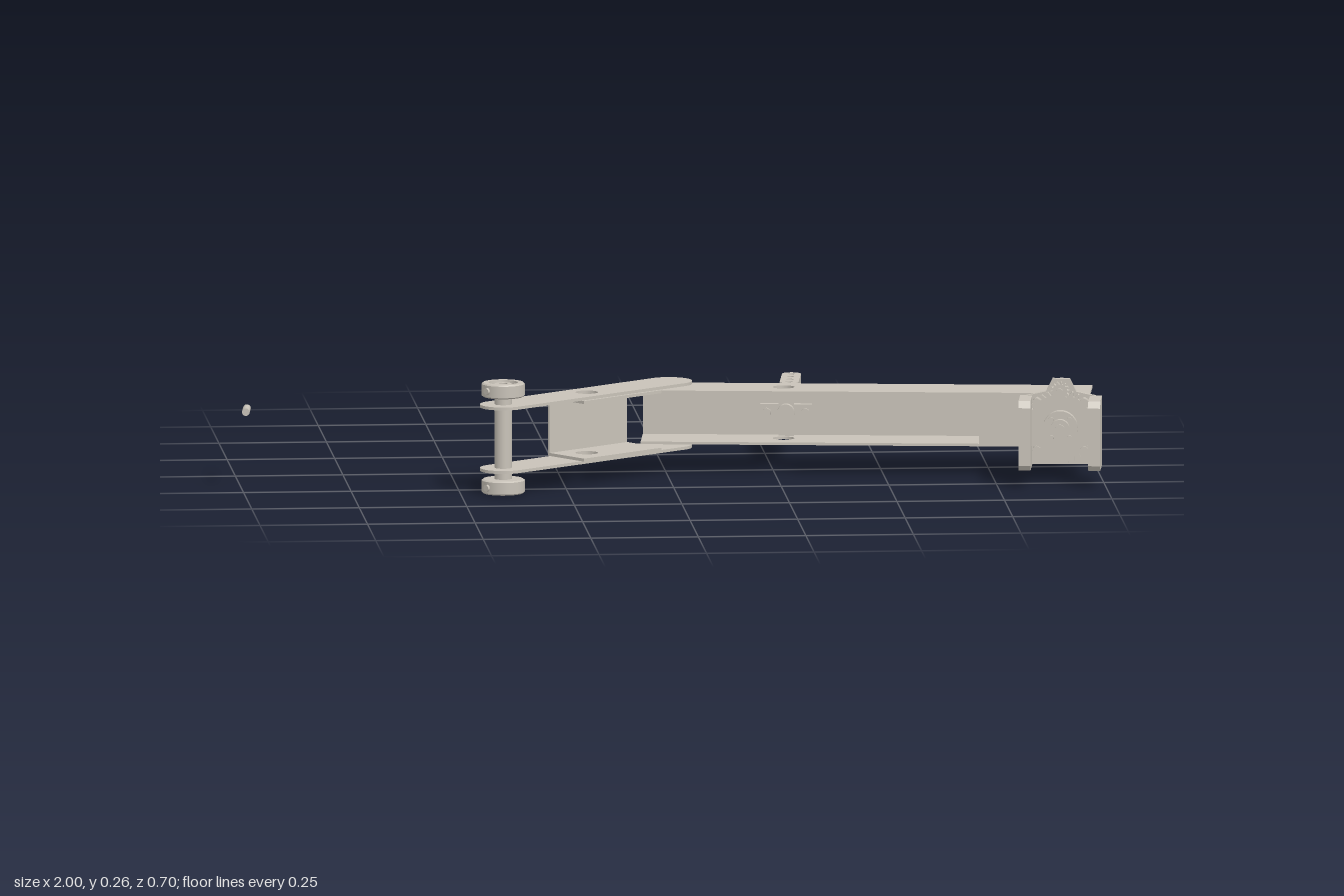
import * as THREE from 'three';

const metal = new THREE.MeshStandardMaterial({ color: 0xc8c2b8 });
metal.name = 'warmGreyMetal';

function add(parent, geometry, name) {
  const mesh = new THREE.Mesh(geometry, metal);
  mesh.name = name;
  parent.add(mesh);
  return mesh;
}

// box given by its low and high corners
function box(parent, name, x0, y0, z0, x1, y1, z1) {
  const g = new THREE.BoxGeometry(x1 - x0, y1 - y0, z1 - z0);
  g.translate((x0 + x1) / 2, (y0 + y1) / 2, (z0 + z1) / 2);
  return add(parent, g, name);
}

// cylinder lying along z, between z0 and z1
function rod(parent, name, x, y, z0, z1, r, sides = 28) {
  const g = new THREE.CylinderGeometry(r, r, z1 - z0, sides);
  g.rotateX(Math.PI / 2).translate(x, y, (z0 + z1) / 2);
  return add(parent, g, name);
}

// horizontal plate: the shape's y becomes z
function plate(parent, name, shape, holes, y0, y1) {
  for (const [x, z, r] of holes) shape.holes.push(new THREE.Path().absarc(x, z, r, 0, Math.PI * 2, true));
  const g = new THREE.ExtrudeGeometry(shape, { depth: y1 - y0, bevelEnabled: false, curveSegments: 24 });
  g.rotateX(Math.PI / 2).translate(0, y1, 0);
  return add(parent, g, name);
}

const polygon = (points) => new THREE.Shape(points.map(([x, y]) => new THREE.Vector2(x, y)));
const rectangle = (x0, y0, x1, y1) => polygon([[x0, y0], [x1, y0], [x1, y1], [x0, y1]]);

// slot outline with round ends centred at a and b along x
function capsule(a, b, y, r) {
  const s = new THREE.Shape();
  s.absarc(b, y, r, -Math.PI / 2, Math.PI / 2, false);
  s.absarc(a, y, r, Math.PI / 2, Math.PI * 1.5, false);
  return s;
}

// toothed disc facing z
function gear(parent, name, x, y, z0, z1, r, depth, teeth, bore) {
  const points = [];
  for (let i = 0; i < teeth * 4; i++) {
    const a = (i / (teeth * 4)) * Math.PI * 2;
    const q = i % 4 < 2 ? r : r - depth;
    points.push([q * Math.cos(a), q * Math.sin(a)]);
  }
  const s = polygon(points);
  s.holes.push(new THREE.Path().absarc(0, 0, bore, 0, Math.PI * 2, true));
  const g = new THREE.ExtrudeGeometry(s, { depth: z1 - z0, bevelEnabled: false });
  g.translate(x, y, z0);
  return add(parent, g, name);
}

function buildMainArm() {
  const arm = new THREE.Group();
  arm.name = 'mainArm';
  const L = 1.043, W = 0.124, T = 0.006;
  for (const y of [0.072, 0.198 - T]) {
    plate(arm, 'armFlange', rectangle(0, 0, L, W), [[0.329, 0.058, 0.025]], y, y + T);
  }
  box(arm, 'armWeb', 0, 0.072, 0, 0.785, 0.198, T);
  box(arm, 'armFrontWall', 0.785, 0.072, W - T, L, 0.198, W);

  // clevis standing out from the back of the web
  const clevis = new THREE.Group();
  clevis.name = 'clevis';
  arm.add(clevis);
  const cx = 0.333, cy = 0.134;
  box(clevis, 'clevisBase', cx - 0.042, cy - 0.035, -0.024, cx + 0.042, cy + 0.035, 0);
  rod(clevis, 'clevisRod', cx, cy, -0.26, 0, 0.022);
  for (const y of [0.09, 0.157]) {
    const holes = [0, 1, 2, 3].map((i) => [0.15 + i * 0.04, 0, 0.008]);
    const tab = plate(clevis, 'clevisTab', capsule(0.15, 0.273, 0, 0.022), holes, y, y + 0.021);
    tab.rotation.y = Math.PI / 2;
    tab.position.x = cx;
  }
  // cross bracket inside the channel
  box(clevis, 'crossBracketBar', cx - 0.06, cy - 0.018, 0.006, cx + 0.06, cy + 0.018, 0.022);
  box(clevis, 'crossBracketPost', cx - 0.018, 0.078, 0.006, cx + 0.018, 0.192, 0.022);
  rod(clevis, 'crossBracketHub', cx, cy, 0.02, 0.04, 0.02);
  for (const s of [-1, 1]) rod(clevis, 'crossBracketBolt', cx + s * 0.045, cy, 0.02, 0.03, 0.01, 6);

  arm.add(buildDrive());
  return arm;
}

function buildDrive() {
  const drive = new THREE.Group();
  drive.name = 'driveUnit';
  drive.position.set(0.979, 0, 0);
  const cy = 0.135;

  // motor
  rod(drive, 'motorBody', 0, cy, -0.085, 0.02, 0.04, 40);
  rod(drive, 'motorGearbox', 0, cy, 0.02, 0.123, 0.042, 40);
  rod(drive, 'motorRearCap', 0, cy, -0.097, -0.085, 0.016);
  for (const s of [-1, 1]) box(drive, 'motorTerminal', s * 0.025 - 0.004, cy - 0.006, -0.1, s * 0.025 + 0.004, cy + 0.006, -0.085);
  rod(drive, 'motorShaft', 0, cy, 0.12, 0.27, 0.011);

  // standoffs
  for (const x of [-0.037, 0.037]) for (const y of [0.088, 0.183]) rod(drive, 'standoff', x, y, 0.12, 0.2, 0.011);

  // back plate with a raised ear for the small motor
  const s = polygon([[-0.08, 0.045], [0.08, 0.045], [0.09, 0.06], [0.09, 0.195], [0.08, 0.205],
    [0.035, 0.215], [0.02, 0.245], [-0.02, 0.245], [-0.035, 0.215], [-0.08, 0.205], [-0.09, 0.195], [-0.09, 0.06]]);
  s.holes.push(new THREE.Path().absarc(0, cy, 0.03, 0, Math.PI * 2, true));
  const g = new THREE.ExtrudeGeometry(s, { depth: 0.015, bevelEnabled: false });
  add(drive, g.translate(0, 0, 0.195), 'drivePlate');

  // chamfered side guards
  for (const side of [-1, 1]) {
    const guard = polygon([[0.2, 0.042], [0.295, 0.042], [0.305, 0.055], [0.305, 0.19], [0.295, 0.205], [0.2, 0.205]]);
    const gg = new THREE.ExtrudeGeometry(guard, { depth: 0.028, bevelEnabled: false });
    gg.rotateY(-Math.PI / 2).translate(side * 0.081 + 0.014, 0, 0);
    add(drive, gg, 'sideGuard');
    for (const y of [0.08, 0.192]) rod(drive, 'plateBolt', side * 0.055, y, 0.205, 0.235, 0.011, 6);
  }

  // large gear and hub
  gear(drive, 'mainGear', 0, cy, 0.215, 0.23, 0.086, 0.01, 36, 0.012);
  rod(drive, 'gearHub', 0, cy, 0.23, 0.25, 0.04, 32);
  rod(drive, 'hubCollar', 0, cy, 0.25, 0.265, 0.022);
  for (let i = 0; i < 4; i++) {
    const a = Math.PI / 4 + (i * Math.PI) / 2;
    rod(drive, 'hubBolt', 0.03 * Math.cos(a), cy + 0.03 * Math.sin(a), 0.25, 0.257, 0.006, 6);
  }

  // small sensor motor with pinion above
  rod(drive, 'sensorBody', 0, 0.221, 0.165, 0.197, 0.02);
  rod(drive, 'sensorRearStub', 0, 0.219, 0.153, 0.165, 0.006);
  rod(drive, 'sensorShaft', 0, 0.225, 0.197, 0.285, 0.008);
  rod(drive, 'sensorCollar', 0, 0.222, 0.21, 0.23, 0.012);
  gear(drive, 'pinion', 0, 0.225, 0.26, 0.278, 0.022, 0.005, 14, 0.006);
  return drive;
}

function buildSwingArm() {
  const arm = new THREE.Group();
  arm.name = 'swingArm';
  const L = 0.523, hole = [0.259, 0, 0.026];
  for (const y of [0.056, 0.205]) plate(arm, 'swingPlate', capsule(0, L, 0, 0.054), [hole], y, y + 0.007);

  // inner channel joining the plates
  for (const y of [0.063, 0.198]) plate(arm, 'innerFlange', rectangle(0.08, -0.062, 0.325, 0.062), [hole], y, y + 0.007);
  box(arm, 'innerWeb', 0.08, 0.063, 0.056, 0.325, 0.205, 0.062);

  // axle and cupped rollers
  const axle = new THREE.CylinderGeometry(0.02, 0.02, 0.21, 28).translate(L, 0.133, 0);
  add(arm, axle, 'axle');
  const profile = [[0, 0], [0.046, 0], [0.05, 0.003], [0.05, 0.03], [0.047, 0.033], [0.034, 0.033],
    [0.032, 0.016], [0.02, 0.016], [0.02, 0.03], [0.01, 0.03], [0.01, 0.012], [0, 0.012]];
  for (const top of [true, false]) {
    // duplicated points keep the profile's corners sharp
    const parts = new THREE.Group();
    parts.name = top ? 'upperRoller' : 'lowerRoller';
    for (let i = 0; i + 1 < profile.length; i++) {
      const pair = [profile[i], profile[i + 1]].map(([r, y]) => new THREE.Vector2(r, y));
      add(parts, new THREE.LatheGeometry(pair, 36), 'rollerSurface');
    }
    // set screw
    const screw = new THREE.CylinderGeometry(0.008, 0.008, 0.01, 12).rotateZ(Math.PI / 2).translate(0.05, 0.017, 0);
    add(parts, screw, 'setScrew');
    parts.position.set(L, top ? 0.23 : 0.037, 0);
    if (!top) parts.rotation.x = Math.PI;
    arm.add(parts);
  }
  return arm;
}

export function createModel() {
  const model = new THREE.Group();
  model.name = 'foldingArm';
  const tilt = -0.119;

  const mainArm = buildMainArm();
  mainArm.position.set(-0.045, 0, -0.097);
  mainArm.rotation.y = tilt;
  model.add(mainArm);

  const swingArm = buildSwingArm();
  swingArm.position.set(0.01, 0, -0.027);
  swingArm.rotation.y = Math.atan2(-0.621, -0.784);
  model.add(swingArm);

  // loose pin lying apart from the arm
  const pin = rod(model, 'loosePin', 0, 0, -0.031, 0.031, 0.009, 20);
  pin.position.set(-0.987, 0.184, 0.165);
  pin.rotation.y = tilt;
  return model;
}
